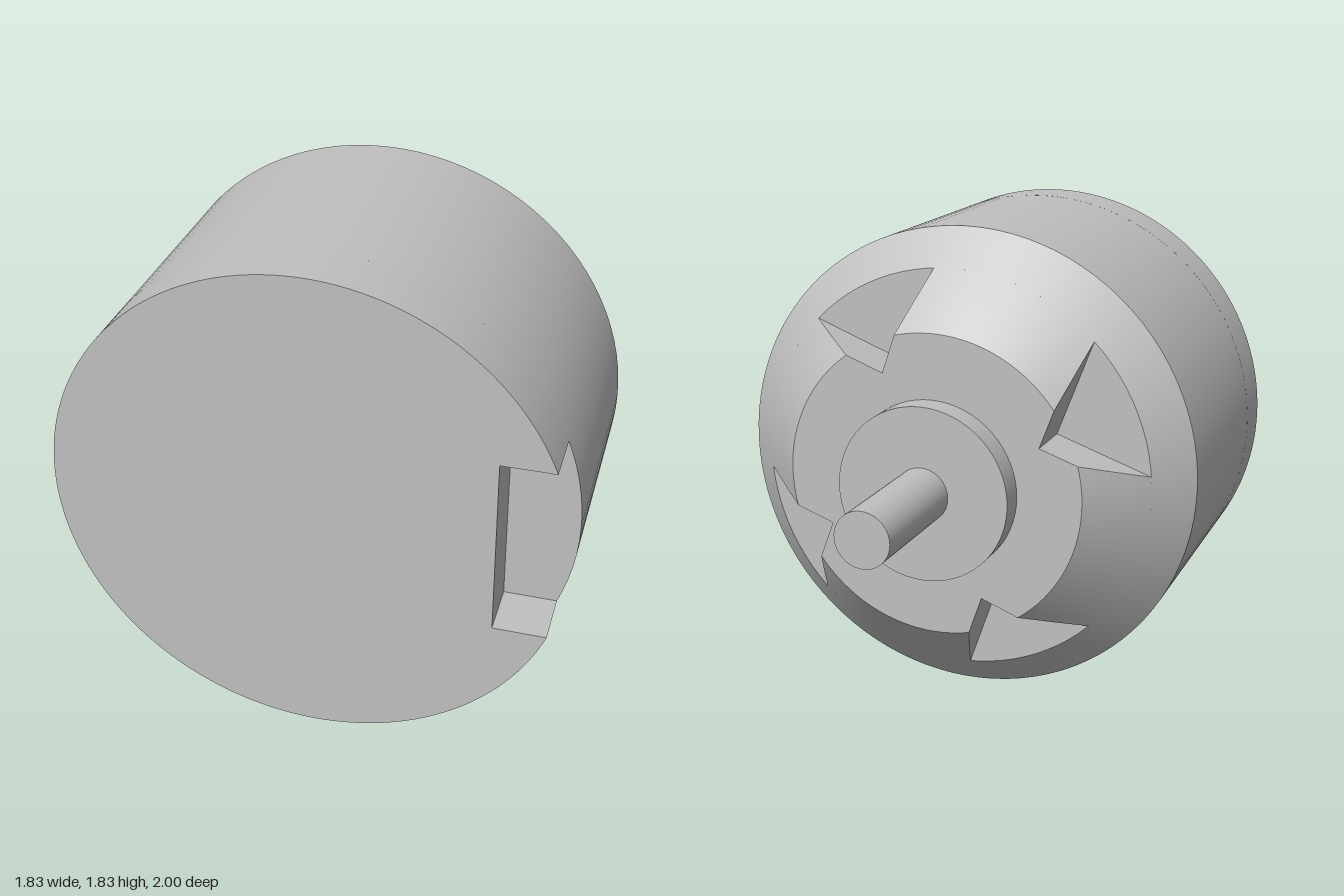
import * as THREE from 'three';
import { toCreasedNormals } from 'three/addons/utils/BufferGeometryUtils.js';

const R = 0.917;                 // housing radius
const NOSE_R = 0.58;             // radius of the flat nose face
const Z_NOSE = -0.4, Z_FLOOR = -0.2, Z_CONE = -0.065;
const SEG = 96;
const metal = new THREE.MeshStandardMaterial({ color: 0xc0c0c0 });
metal.name = 'grey metal';

const coneRadius = z => NOSE_R + (R - NOSE_R) * (z - Z_NOSE) / (Z_CONE - Z_NOSE);

function add(group, name, geometry) {
  const mesh = new THREE.Mesh(geometry, metal);
  mesh.name = name;
  group.add(mesh);
}

// Cylinder along z between two depths
function zCylinder(radius, z0, z1) {
  return new THREE.CylinderGeometry(radius, radius, z1 - z0, 64)
    .rotateX(Math.PI / 2).translate(0, 0, (z0 + z1) / 2);
}

// Main drum with the lower part of the cone; its rear disc is the floor of the vents
function drumGeometry() {
  const profile = [[0, Z_FLOOR], [coneRadius(Z_FLOOR), Z_FLOOR], [R, Z_CONE], [R, 0.8], [0, 0.8]]
    .map(p => new THREE.Vector2(p[0], p[1]));
  return toCreasedNormals(new THREE.LatheGeometry(profile, SEG).rotateX(Math.PI / 2), 0.5);
}

// Front section with a rectangular connector recess on the left side
function frontGeometry() {
  const half = 0.335, inner = 0.665, a = Math.asin(half / R);
  const shape = new THREE.Shape();
  shape.moveTo(inner, half);
  shape.lineTo(R * Math.cos(a), half);
  shape.absarc(0, 0, R, a, Math.PI * 2 - a, false);
  shape.lineTo(inner, -half);
  shape.closePath();
  const g = new THREE.ExtrudeGeometry(shape, { depth: 0.2, bevelEnabled: false, curveSegments: SEG });
  return toCreasedNormals(g.translate(0, 0, 0.8), 0.5);
}

// Cross-section of the nose cone: a circle with four V-shaped vents
function noseSection(z) {
  const r = coneRadius(z), corner = 0.459, half = 0.77, first = -0.441, steps = 20;
  const t = -corner * Math.cos(half) + Math.sqrt(r * r - (corner * Math.sin(half)) ** 2);
  const spread = Math.atan2(t * Math.sin(half), corner + t * Math.cos(half));
  const points = [];
  for (let k = 0; k < 4; k++) {
    const mid = first + k * Math.PI / 2;
    points.push([corner * Math.cos(mid), corner * Math.sin(mid), z]);
    for (let i = 0; i <= steps; i++) {
      const a = mid + spread + (Math.PI / 2 - 2 * spread) * i / steps;
      points.push([r * Math.cos(a), r * Math.sin(a), z]);
    }
  }
  return points;
}

// Vented nose, lofted through the sections and closed by the flat rear face
function noseGeometry() {
  const levels = 8, rings = [], pos = [];
  for (let j = 0; j <= levels; j++) rings.push(noseSection(Z_NOSE + (Z_FLOOR - Z_NOSE) * j / levels));
  const n = rings[0].length;
  for (let i = 0; i < n; i++) {
    const k = (i + 1) % n;
    pos.push(0, 0, Z_NOSE, ...rings[0][k], ...rings[0][i]);
    for (let j = 0; j < levels; j++) {
      const a = rings[j][i], b = rings[j][k], c = rings[j + 1][k], d = rings[j + 1][i];
      pos.push(...a, ...b, ...c, ...a, ...c, ...d);
    }
  }
  const g = new THREE.BufferGeometry();
  g.setAttribute('position', new THREE.Float32BufferAttribute(pos, 3));
  return toCreasedNormals(g, 0.5);
}

export function createModel() {
  const motor = new THREE.Group();
  motor.name = 'motor';
  const parts = new THREE.Group();
  parts.name = 'motorParts';
  parts.position.y = R;
  motor.add(parts);

  add(parts, 'drum', drumGeometry());
  add(parts, 'frontSection', frontGeometry());
  add(parts, 'ventedNose', noseGeometry());
  add(parts, 'bearingBoss', zCylinder(0.333, -0.5, Z_NOSE));
  add(parts, 'shaft', zCylinder(0.104, -1, -0.5));
  return motor;
}
